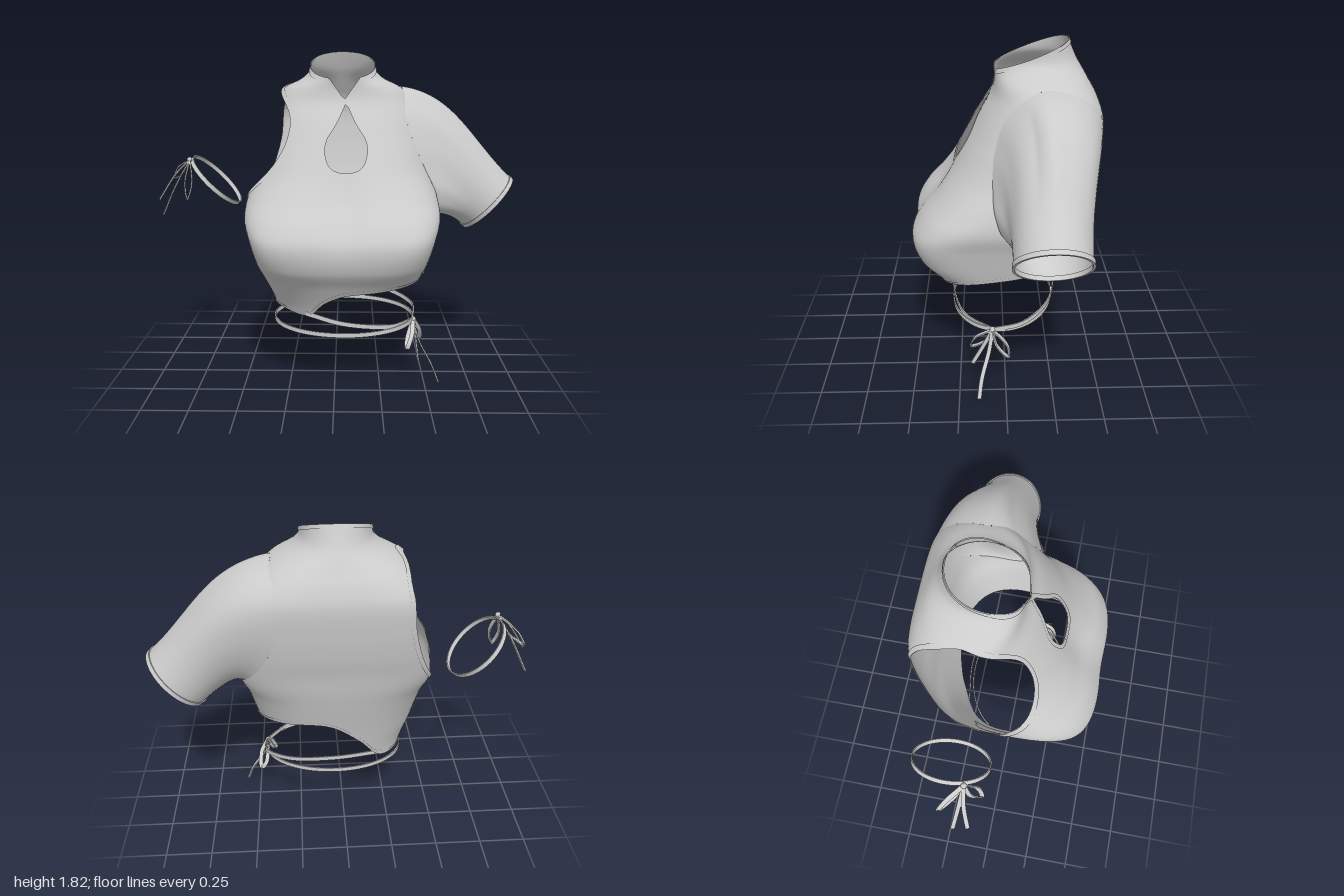
import * as THREE from 'three';

const V = (x, y, z) => new THREE.Vector3(x, y, z);
const material = new THREE.MeshStandardMaterial({ color: 0xcccccc, side: THREE.DoubleSide });
const CX = 0.04; // the torso sits slightly off centre because of the single sleeve

// Torso sections: height, half width, front z, back z, front and back roundness
const SECTIONS = [
  [0.40, 0.36, 0.28, -0.28, 2.3, 2.6], [0.50, 0.385, 0.325, -0.295, 2.5, 2.6],
  [0.62, 0.43, 0.395, -0.32, 2.9, 2.7], [0.72, 0.46, 0.465, -0.345, 3.6, 2.8],
  [0.85, 0.495, 0.49, -0.38, 4, 3], [0.95, 0.525, 0.445, -0.405, 3.4, 3.4],
  [1.05, 0.515, 0.365, -0.425, 2.8, 3.9], [1.17, 0.48, 0.285, -0.455, 2.4, 4.3],
  [1.32, 0.45, 0.2, -0.48, 2.3, 4.6], [1.46, 0.42, 0.12, -0.49, 2.3, 4.4],
  [1.55, 0.385, 0.065, -0.465, 2.3, 3.4], [1.62, 0.325, 0.05, -0.425, 2.2, 2.6],
  [1.67, 0.225, 0.055, -0.395, 2, 2.1], [1.72, 0.18, 0.055, -0.365, 2, 2],
  [1.85, 0.175, 0.03, -0.31, 2, 2],
];
// Hem height by angle in degrees (0 left, 90 front, -90 back, 180 right)
const HEM = [
  [-180, 0.47], [-160, 0.46], [-133, 0.45], [-110, 0.59], [-81, 0.71], [-45, 0.715], [0, 0.67],
  [60, 0.6], [88, 0.575], [105, 0.525], [122, 0.44], [150, 0.465], [180, 0.47],
];

// Smooth interpolation of one column of a table
function sample(table, t, col) {
  let i = 0;
  while (i < table.length - 2 && t > table[i + 1][0]) i++;
  const slope = (k) => {
    const a = table[Math.max(k - 1, 0)], b = table[Math.min(k + 1, table.length - 1)];
    return (b[col] - a[col]) / (b[0] - a[0]);
  };
  const a = table[i], b = table[i + 1], h = b[0] - a[0];
  const s = THREE.MathUtils.clamp((t - a[0]) / h, 0, 1), s2 = s * s, s3 = s2 * s;
  return (2 * s3 - 3 * s2 + 1) * a[col] + (s3 - 2 * s2 + s) * h * slope(i)
    + (3 * s2 - 2 * s3) * b[col] + (s3 - s2) * h * slope(i + 1);
}
const middle = (y) => (sample(SECTIONS, y, 2) + sample(SECTIONS, y, 3)) / 2;

// Point of the torso surface at a height and angle, with a slight dip between the bust
function torsoPoint(y, a) {
  const [w, f, b, nf, nb] = [1, 2, 3, 4, 5].map((c) => sample(SECTIONS, y, c));
  const c = Math.cos(a), q = Math.sin(a), n = q > 0 ? nf : nb;
  const r = Math.pow(Math.pow(Math.abs(c) / w, n) + Math.pow(Math.abs(q) / ((f - b) / 2), n), -1 / n);
  const dip = q > 0 ? 0.03 * Math.exp(-((r * c / 0.12) ** 2) - (((y - 1.05) / 0.2) ** 2)) : 0;
  return V(CX + r * c, y, (f + b) / 2 + r * q - dip);
}

// Outline and its signed distance (negative inside)
function outline(points, closed, count = 56) {
  const curve = new THREE.CatmullRomCurve3(points.map(([a, b]) => V(a, b, 0)), closed);
  return curve.getPoints(count).slice(0, count);
}
function distanceTo(poly, px, py) {
  let best = Infinity, inside = false;
  poly.forEach((a, i) => {
    const b = poly[(i + 1) % poly.length], ex = b.x - a.x, ey = b.y - a.y;
    const t = THREE.MathUtils.clamp(((px - a.x) * ex + (py - a.y) * ey) / (ex * ex + ey * ey || 1), 0, 1);
    best = Math.min(best, Math.hypot(px - a.x - t * ex, py - a.y - t * ey));
    if ((a.y > py) !== (b.y > py) && px < a.x + (ex * (py - a.y)) / ey) inside = !inside;
  });
  return inside ? -best : best;
}
// Side openings as (angle towards the front, y), unrolled to a flat sheet
const GIRTH = 0.42;
const unroll = (points) => points.map(([deg, y]) => [THREE.MathUtils.degToRad(deg) * GIRTH, y]);
const ARMHOLE = outline(unroll([[-5, 1.62], [-30, 1.55], [-39, 1.37], [-38, 1.18], [-33, 1.02], [-23, 0.92],
  [-9, 0.93], [10, 1.04], [30, 1.17], [42, 1.32], [42, 1.46], [24, 1.57]]), true);
const SLEEVE_ROOT = outline(unroll([[-5, 1.625], [-36, 1.55], [-47, 1.37], [-43, 1.14], [-31, 0.98], [-16, 0.92],
  [-2, 0.95], [9, 1.05], [20, 1.2], [28, 1.35], [30, 1.48], [18, 1.58]]), true, 72);
const HALF_KEY = [[0.05, 1.44], [0.1, 1.36], [0.11, 1.3], [0.08, 1.22]];
const KEYHOLE = outline([[0, 1.545], ...HALF_KEY, [0, 1.195], ...HALF_KEY.map(([x, y]) => [-x, y]).reverse(), [0, 1.545]]
  .map(([x, y]) => [x + 0.06, y]), false);

// Each cut keeps the cloth where its value is positive
const sideCut = (poly, sign) => (p) => ((p.x - CX) * sign > 0
  ? Math.min(0.1, distanceTo(poly, GIRTH * Math.atan2(p.z - middle(p.y), Math.abs(p.x - CX)), p.y)) : 0.1);
const cuts = {
  hem: (p) => p.y - sample(HEM, THREE.MathUtils.radToDeg(Math.atan2(p.z, p.x - CX)), 1),
  collar: (p) => Math.min(1.69 - 0.378 * p.z - p.y,
    p.z > -0.12 ? 1.56 + 1.4 * Math.abs(p.x - 0.05) - p.y : 1),
  armhole: sideCut(ARMHOLE, -1),
  keyhole: (p) => (p.z > middle(p.y) ? Math.min(0.1, distanceTo(KEYHOLE, p.x, p.y)) : 0.1),
};

// Trim triangles along the zero line of a function
function clip(triangles, f) {
  const result = [];
  for (const tri of triangles) {
    const d = tri.map((v) => f(v.p)), poly = [];
    tri.forEach((a, i) => {
      const j = (i + 1) % 3, b = tri[j];
      if (d[i] >= 0) poly.push(a);
      if ((d[i] >= 0) !== (d[j] >= 0)) {
        const t = d[i] / (d[i] - d[j]);
        poly.push({ p: a.p.clone().lerp(b.p, t), n: a.n.clone().lerp(b.n, t).normalize() });
      }
    });
    for (let k = 2; k < poly.length; k++) result.push([poly[0], poly[k - 1], poly[k]]);
  }
  return result;
}
function triangleMesh(name, triangles, lift = 0) {
  const pos = [], nor = [];
  triangles.flat().forEach(({ p, n }) => {
    pos.push(p.x + n.x * lift, p.y + n.y * lift, p.z + n.z * lift);
    nor.push(n.x, n.y, n.z);
  });
  const g = new THREE.BufferGeometry();
  g.setAttribute('position', new THREE.Float32BufferAttribute(pos, 3));
  g.setAttribute('normal', new THREE.Float32BufferAttribute(nor, 3));
  return named(name, g);
}
function named(name, geometry) {
  const mesh = new THREE.Mesh(geometry, material);
  mesh.name = name;
  return mesh;
}
// Skin over rows of points, each row a closed ring
function loft(rows) {
  const m = rows[0].length, index = [];
  for (let i = 0; i < rows.length - 1; i++) for (let j = 0; j < m; j++) {
    const k = (j + 1) % m, a = i * m + j, b = i * m + k;
    index.push(a, a + m, b, b, a + m, b + m);
  }
  const g = new THREE.BufferGeometry().setFromPoints(rows.flat());
  g.setIndex(index);
  g.computeVertexNormals();
  return g;
}
function torsoTriangles() {
  const rows = Array.from({ length: 111 }, (_, i) => ring((a) => torsoPoint(0.4 + (1.45 * i) / 110, a), 112));
  const g = loft(rows), P = g.attributes.position, N = g.attributes.normal, out = [];
  const vertex = (i) => ({ p: V(0, 0, 0).fromBufferAttribute(P, i), n: V(0, 0, 0).fromBufferAttribute(N, i) });
  for (let i = 0; i < g.index.count; i += 3) out.push([0, 1, 2].map((k) => vertex(g.index.getX(i + k))));
  return out;
}

// Sleeve swept from the root outline on the torso to a tilted cuff
const CUFF = V(0.87, 0.97, -0.2), CUFF_UP = V(0.68, 0.73, 0), CUFF_AXIS = V(0.73, -0.68, 0);
const cuffPoint = (a) => CUFF.clone().addScaledVector(CUFF_UP, 0.192 * Math.cos(a)).add(V(0, 0, 0.18 * Math.sin(a)));
function sleeveGeometry() {
  const columns = SLEEVE_ROOT.map(({ x, y }) => {
    const a = x / GIRTH, e = 0.004, root = torsoPoint(y, a);
    const n = torsoPoint(y + e, a).sub(root).cross(torsoPoint(y, a + e).sub(root)).normalize();
    const end = cuffPoint(Math.atan2((root.z + 0.2) / 0.28, (y - 1.27) / 0.35)), len = root.distanceTo(end);
    // leave along the cloth of the torso, nearly level over the shoulder
    const t0 = V(1, 0, 0).addScaledVector(n, -0.7 * n.x).multiply(V(1, 0.3, 1)).multiplyScalar(len * 1.35);
    return new THREE.CubicBezierCurve3(root, root.clone().addScaledVector(t0, 1 / 3),
      end.clone().addScaledVector(CUFF_AXIS, -len * 0.38), end).getPoints(28);
  });
  return loft(columns[0].map((_, i) => columns.map((c) => c[i]).reverse()));
}

// Flat ribbon along a path, its width lying towards the given direction
function ribbon(name, points, across, { width = 0.024, closed = false, thick = 0.007, steps = 48 } = {}) {
  const curve = new THREE.CatmullRomCurve3(points, closed), rows = [];
  for (let i = 0; i <= steps; i++) {
    const p = curve.getPoint(i / steps), t = curve.getTangent(i / steps);
    const side = across.clone().addScaledVector(t, -across.dot(t)).normalize().multiplyScalar(width / 2);
    const up = V(0, 0, 0).crossVectors(t, side).normalize().multiplyScalar(thick / 2);
    rows.push([[1, 1], [1, -1], [-1, -1], [-1, 1]].map(([a, b]) => p.clone().addScaledVector(side, a).addScaledVector(up, b)));
  }
  const g = loft(rows).toNonIndexed();
  g.computeVertexNormals();
  return named(name, g);
}
const ring = (f, count = 32) => Array.from({ length: count }, (_, i) => f((i / count) * Math.PI * 2));

// Bow: knot, teardrop loops hanging to a tip and loose tails
function bow(name, knot, loops, tails, loopAcross, tailAcross) {
  const g = new THREE.Group();
  g.name = name;
  const k = named('knot', new THREE.SphereGeometry(0.015, 12, 8));
  k.position.copy(knot);
  g.add(k);
  loops.forEach(([tip, spread]) => {
    const mid = knot.clone().lerp(tip, 0.6);
    g.add(ribbon('bowLoop', [knot, mid.clone().add(spread), tip, mid.clone().sub(spread), knot], loopAcross));
  });
  tails.forEach((t) => g.add(ribbon('bowTail', [knot, ...t], tailAcross, { width: 0.022 })));
  return g;
}

export function createModel() {
  const model = new THREE.Group();

  // Torso shell with its openings and raised edge bindings
  let cloth = torsoTriangles();
  for (const f of [...Object.values(cuts), sideCut(SLEEVE_ROOT, 1)]) cloth = clip(cloth, f);
  model.add(triangleMesh('torso', cloth));
  for (const [name, f] of Object.entries(cuts)) {
    model.add(triangleMesh(name + 'Binding', clip(cloth, (p) => 0.022 - f(p)), 0.005));
  }

  // Sleeve
  model.add(named('sleeve', sleeveGeometry()));
  model.add(ribbon('cuffBinding', ring(cuffPoint), CUFF_AXIS, { closed: true, thick: 0.012, steps: 64 }));

  // Waist straps, wrapped once around and tied at the left
  const up = V(0, 1, 0), knot = V(0.44, 0.345, 0.07);
  model.add(ribbon('backStrap', [V(-0.2, 0.465, -0.25), V(0.06, 0.455, -0.28), V(0.3, 0.425, -0.23), V(0.44, 0.385, -0.09), knot], up));
  model.add(ribbon('frontStrap', [V(-0.15, 0.45, 0.28), V(0.05, 0.395, 0.29), V(0.3, 0.355, 0.22), knot], up));
  model.add(ribbon('waistLoop', ring((a) => V(0.05 + 0.39 * Math.cos(a), 0.347 - 0.017 * Math.sin(a), 0.01 + 0.28 * Math.sin(a))),
    up, { closed: true, steps: 80 }));
  model.add(bow('waistBow', knot,
    [[V(0.4, 0.215, 0.185), V(0.01, 0.02, 0.025)], [V(0.48, 0.2, -0.015), V(0.015, 0.015, 0.03)]],
    [[V(0.47, 0.23, 0.09), V(0.54, 0.1, 0.13), V(0.58, 0, 0.145)], [V(0.45, 0.25, 0.12), V(0.46, 0.145, 0.18)]],
    V(1, 0, 0.2), V(0.2, 0, 1)));

  // Separate arm band with its own bow on the bare side
  model.add(ribbon('armBand', ring((a) => V(-0.69 + 0.13 * Math.cos(a), 1.09 - 0.13 * Math.cos(a), -0.2 + 0.2 * Math.sin(a))),
    V(1, 1, 0), { closed: true, steps: 64 }));
  model.add(bow('armBow', V(-0.82, 1.22, -0.1),
    [[V(-0.94, 1.1, -0.21), V(0.015, -0.015, 0.015)], [V(-0.825, 1.01, -0.02), V(0.022, 0, 0.012)]],
    [[V(-0.91, 1.07, -0.12), V(-0.995, 0.895, -0.145)], [V(-0.9, 1.14, -0.09), V(-0.99, 1.0, -0.06)]],
    V(0.3, 0.2, 1), V(0.3, 0, 1)));
  return model;
}
